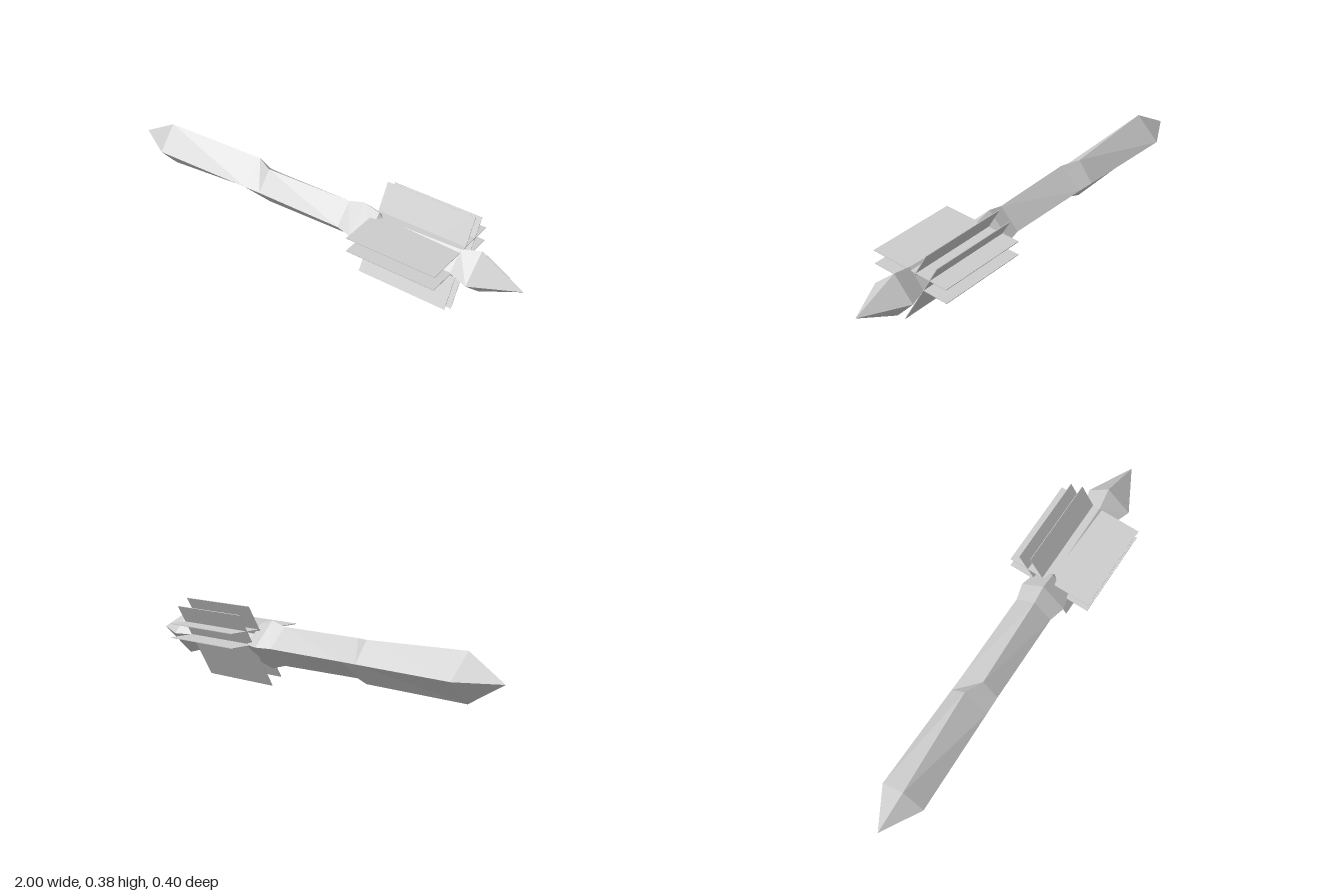
import * as THREE from 'three';

const AXIS_Y = 0.204;

// Cross-sections of the hull: x, half height, half width, sideways shift of the top and bottom ridges
const SECTIONS = [
  [-1.0, 0, 0, 0],
  [-0.82, 0.105, 0.103, 0.011],
  [-0.33, 0.093, 0.092, -0.02],
  [-0.25, 0.086, 0.09, 0.018],
  [0.17, 0.088, 0.088, 0.004],
  [0.245, 0.109, 0.108, 0],
  [0.32, 0.088, 0.088, 0],
  [0.34, 0.064, 0.064, 0],
  [0.71, 0.078, 0.072, 0],
  [0.8, 0.103, 0.105, -0.011],
  [1.0, 0, 0, 0],
];

// Four-sided lofted hull with flat faces
function hullGeometry() {
  const rings = SECTIONS.map(([x, h, w, s]) => [
    [x, AXIS_Y + h, s],
    [x, AXIS_Y, w],
    [x, AXIS_Y - h, s],
    [x, AXIS_Y, -w],
  ]);
  const pos = [];
  for (let i = 0; i < rings.length - 1; i++) {
    for (let j = 0; j < 4; j++) {
      const k = (j + 1) % 4;
      const a = rings[i][j], b = rings[i][k], c = rings[i + 1][k], d = rings[i + 1][j];
      if (i > 0) pos.push(...a, ...b, ...(i === rings.length - 2 ? d : c));
      if (i < rings.length - 2) pos.push(...a, ...c, ...d);
    }
  }
  const g = new THREE.BufferGeometry();
  g.setAttribute('position', new THREE.Float32BufferAttribute(pos, 3));
  g.computeVertexNormals();
  return g;
}

export function createModel() {
  const model = new THREE.Group();
  model.name = 'spacecraft';

  const grey = new THREE.MeshStandardMaterial({ color: 0xcccccc });
  grey.name = 'light grey';
  grey.flatShading = true;

  const hull = new THREE.Mesh(hullGeometry(), grey);
  hull.name = 'hull';
  model.add(hull);

  // Two parallel pairs of panels through the neck: centre y, centre z, tilt about x
  const panelGeometry = new THREE.BoxGeometry(0.42, 0.003, 0.4);
  const panels = [
    ['upperLevelPanel', 0.27, 0, 0],
    ['lowerLevelPanel', 0.205, 0, 0],
    ['frontTiltedPanel', 0.208, 0, Math.PI / 3],
    ['backTiltedPanel', 0.175, -0.056, Math.PI / 3],
  ];
  for (const [name, y, z, tilt] of panels) {
    const panel = new THREE.Mesh(panelGeometry, grey);
    panel.name = name;
    panel.position.set(0.503, y, z);
    panel.rotation.x = tilt;
    model.add(panel);
  }
  return model;
}
